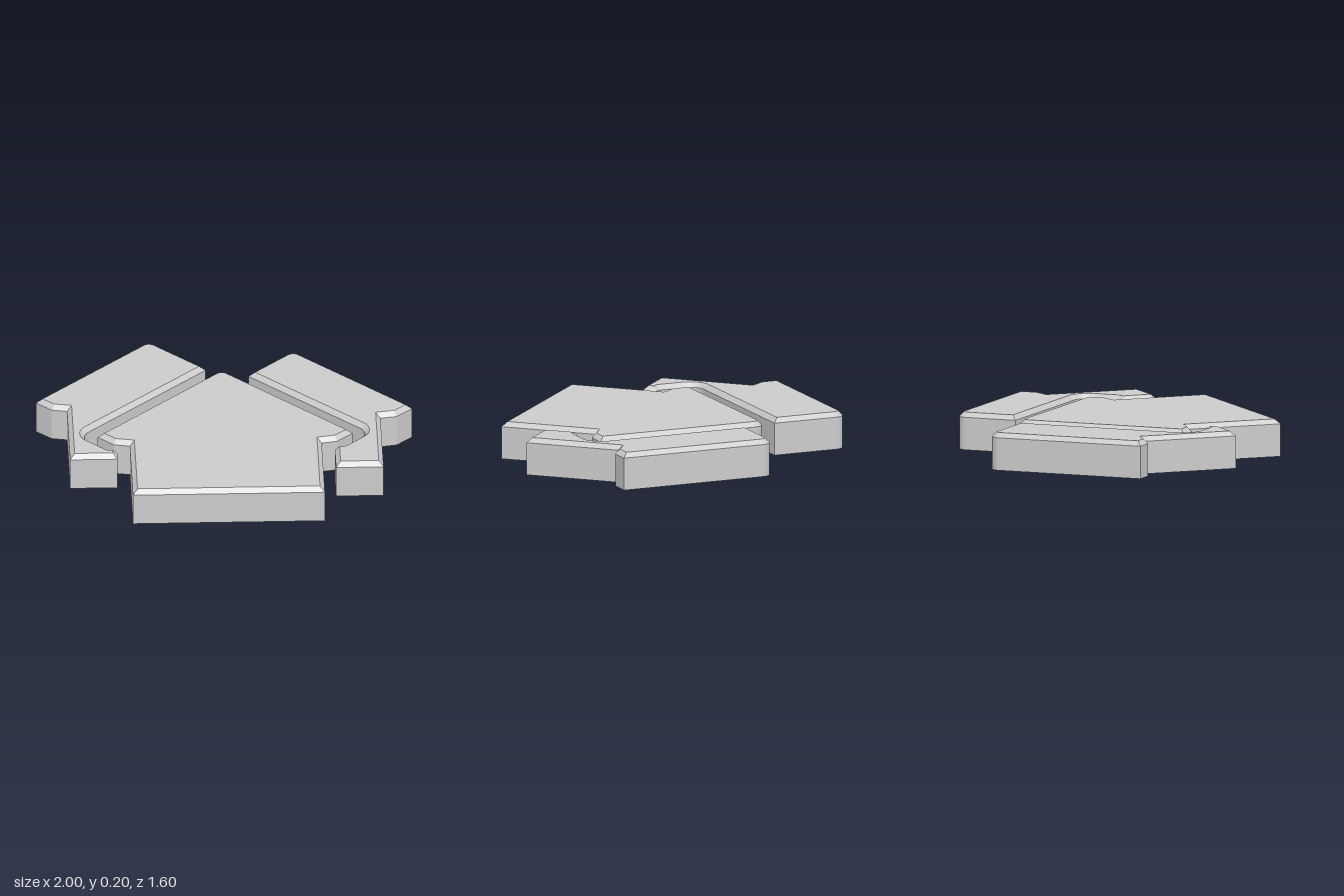
import * as THREE from 'three';

const HEIGHT = 0.2, CHAMFER = 0.025, ARC_STEPS = 10;

// Round each [x, z, radius] corner and return a counter-clockwise outline in (x, -z).
function roundedOutline(corners) {
  const pts = corners.map(([x, z]) => new THREE.Vector2(x, -z));
  const n = pts.length, out = [];
  pts.forEach((p, i) => {
    const r = corners[i][2] || 0;
    if (!r) { out.push(p); return; }
    const a = pts[(i + n - 1) % n].clone().sub(p).normalize();
    const b = pts[(i + 1) % n].clone().sub(p).normalize();
    const half = Math.acos(a.dot(b)) / 2;
    const t = r / Math.tan(half);
    const centre = a.clone().add(b).normalize().multiplyScalar(r / Math.sin(half)).add(p);
    const start = a.multiplyScalar(t).add(p).sub(centre);
    const end = b.multiplyScalar(t).add(p).sub(centre);
    const sweep = Math.PI - 2 * half;
    const turn = Math.sign(start.cross(end)) * sweep;
    for (let k = 0; k <= ARC_STEPS; k++) {
      out.push(start.clone().rotateAround(new THREE.Vector2(), turn * k / ARC_STEPS).add(centre));
    }
  });
  return THREE.ShapeUtils.isClockWise(out) ? out.reverse() : out;
}

// Mitred inset of a counter-clockwise outline.
function inset(pts, d) {
  const n = pts.length;
  return pts.map((p, i) => {
    const u = p.clone().sub(pts[(i + n - 1) % n]).normalize();
    const v = pts[(i + 1) % n].clone().sub(p).normalize();
    const n1 = new THREE.Vector2(-u.y, u.x), n2 = new THREE.Vector2(-v.y, v.x);
    const m = n1.clone().add(n2);
    return m.multiplyScalar(d / (1 + n1.dot(n2))).add(p);
  });
}

// Flat plate: bottom cap, straight wall, chamfer and top cap.
function plate(name, corners) {
  const outer = roundedOutline(corners), inner = inset(outer, CHAMFER);
  const n = outer.length, positions = [], index = [];
  const rings = [[outer, 0], [outer, HEIGHT - CHAMFER], [inner, HEIGHT]];
  for (const [ring, y] of rings) for (const p of ring) positions.push(p.x, y, -p.y);
  for (let r = 0; r < 2; r++) {
    for (let i = 0; i < n; i++) {
      const a = r * n + i, b = r * n + (i + 1) % n;
      index.push(a, b, b + n, a, b + n, a + n);
    }
  }
  for (const [a, b, c] of THREE.ShapeUtils.triangulateShape(outer, [])) index.push(c, b, a);
  for (const [a, b, c] of THREE.ShapeUtils.triangulateShape(inner, [])) {
    index.push(a + 2 * n, b + 2 * n, c + 2 * n);
  }
  const indexed = new THREE.BufferGeometry();
  indexed.setAttribute('position', new THREE.Float32BufferAttribute(positions, 3));
  indexed.setIndex(index);
  const geometry = indexed.toNonIndexed();
  geometry.computeVertexNormals();
  const mesh = new THREE.Mesh(geometry, new THREE.MeshStandardMaterial({ color: 0xcccccc, flatShading: true }));
  mesh.name = name;
  return mesh;
}

export function createModel() {
  const group = new THREE.Group();
  group.name = 'houseCluster';

  // Central house: rounded ridge, notched eaves, square base
  group.add(plate('centreHouse', [
    [-0.003, -0.51, 0.06], [0.675, 0.173], [0.59, 0.255, 0.03], [0.507, 0.272],
    [0.507, 0.8], [-0.515, 0.8], [-0.515, 0.272], [-0.6, 0.255, 0.03], [-0.683, 0.173],
  ]));

  // House behind on the right-hand side of the viewer, hooked under the centre eave
  group.add(plate('leftHouse', [
    [0.383, -0.7, 0.06], [1.0, -0.083], [0.914, 0.0, 0.04], [0.828, 0.015],
    [0.828, 0.537], [0.575, 0.537], [0.575, 0.335, 0.02], [0.622, 0.328, 0.02],
    [0.773, 0.176, 0.08], [0.14, -0.457],
  ]));

  // Taller house behind on the other side
  group.add(plate('rightHouse', [
    [-0.381, -0.826, 0.06], [-0.085, -0.53], [-0.787, 0.172, 0.08], [-0.629, 0.33, 0.02],
    [-0.584, 0.335, 0.02], [-0.584, 0.41], [-0.837, 0.41], [-0.837, -0.112],
    [-0.917, -0.127, 0.04], [-1.0, -0.207],
  ]));

  return group;
}
